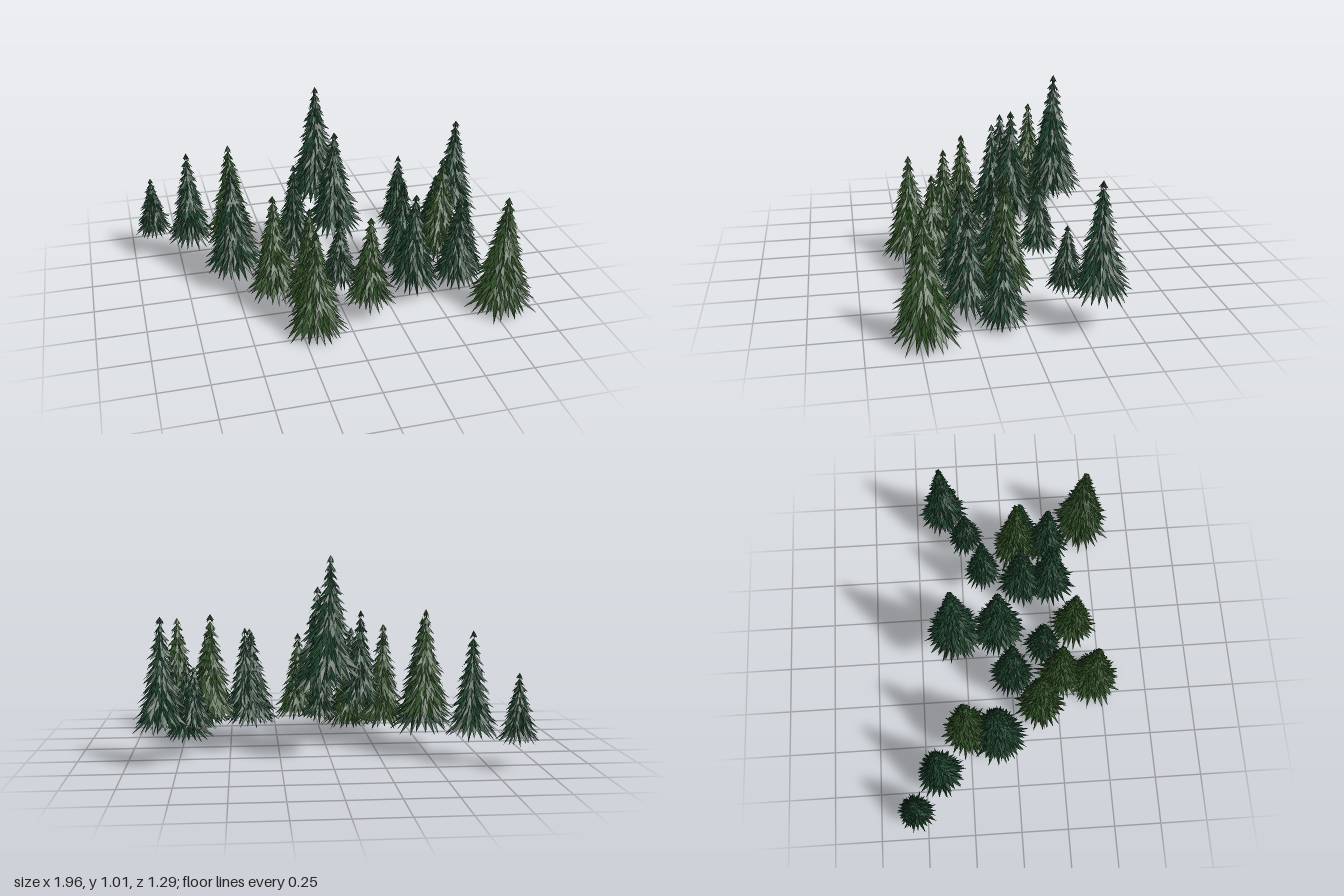
import * as THREE from 'three';

const pineGreen = new THREE.MeshStandardMaterial({ name: 'pineGreen', color: 0x21452f, side: THREE.DoubleSide, flatShading: true });
const mossGreen = new THREE.MeshStandardMaterial({ name: 'mossGreen', color: 0x335229, side: THREE.DoubleSide, flatShading: true });

// Each tree: x, z, lowest branch tips, top, radius, moss coloured
const TREES = [
  [-0.88, -0.55, 0.15, 0.48, 0.105, 0],
  [-0.685, -0.415, 0.15, 0.67, 0.135, 0],
  [-0.48, -0.26, 0.21, 0.76, 0.145, 1],
  [-0.495, -0.10, 0.12, 0.70, 0.165, 0],
  [-0.325, 0.145, 0.09, 0.64, 0.145, 1],
  [-0.185, 0.0, 0.23, 0.73, 0.13, 0],
  [-0.165, 0.265, 0.08, 0.61, 0.145, 1],
  [-0.18, 0.45, 0.025, 0.58, 0.16, 1],
  [0.01, 0.185, 0.12, 0.48, 0.115, 0],
  [0.125, 0.36, 0.10, 0.57, 0.135, 1],
  [0.0, -0.29, 0.41, 1.03, 0.16, 0],
  [0.045, -0.06, 0.31, 0.86, 0.155, 0],
  [0.42, -0.125, 0.26, 0.66, 0.11, 0],
  [0.385, 0.085, 0.13, 0.61, 0.14, 0],
  [0.395, 0.25, 0.10, 0.61, 0.15, 0],
  [0.60, 0.07, 0.15, 0.71, 0.15, 1],
  [0.635, 0.25, 0.09, 0.56, 0.14, 0],
  [0.675, -0.21, 0.17, 0.475, 0.11, 0],
  [0.825, -0.33, 0.19, 0.74, 0.145, 0],
  [0.80, 0.47, 0.025, 0.65, 0.175, 1],
  [0.73, 0.105, 0.04, 0.47, 0.13, 0],
];

function makeRandom(seed) {
  let s = seed;
  return () => {
    s = (s * 16807) % 2147483647;
    return s / 2147483647;
  };
}

// Stacked drooping star-shaped cones with sharp, uneven branch tips
function treeGeometry(height, radius, random) {
  const tiers = Math.max(10, Math.round(height * 24));
  const step = height / tiers;
  const pos = [];
  for (let i = 0; i < tiers; i++) {
    const t = (i + 1) / tiers;
    const R = radius * (0.07 + 0.93 * t);
    const tipY = height * (1 - t);
    const crownY = i === 0 ? height : Math.min(height, tipY + R * 0.85 + step * 0.5);
    const drop = crownY - tipY;
    const n = Math.round(10 + 14 * t);
    const turn = random() * Math.PI * 2;
    const tips = [], notches = [];
    for (let k = 0; k < n; k++) {
      const a = turn + (k + (random() - 0.5) * 0.5) / n * Math.PI * 2;
      const b = turn + (k + 0.5) / n * Math.PI * 2;
      const len = R * (0.82 + 0.28 * random());
      const inner = R * (0.58 + 0.1 * random());
      tips.push([Math.sin(a) * len, tipY + (random() - 0.4) * step * 0.6, Math.cos(a) * len]);
      notches.push([Math.sin(b) * inner, crownY - drop * 0.68, Math.cos(b) * inner]);
    }
    const crown = [0, crownY, 0];
    for (let k = 0; k < n; k++) {
      const prev = notches[(k + n - 1) % n];
      pos.push(...crown, ...prev, ...tips[k], ...crown, ...tips[k], ...notches[k]);
    }
  }
  const geo = new THREE.BufferGeometry();
  geo.setAttribute('position', new THREE.Float32BufferAttribute(pos, 3));
  geo.computeVertexNormals();
  return geo;
}

export function createModel() {
  const forest = new THREE.Group();
  forest.name = 'forest';
  TREES.forEach(([x, z, base, top, radius, moss], i) => {
    const geo = treeGeometry(top - base, radius, makeRandom(977 + i * 7919));
    const tree = new THREE.Mesh(geo, moss ? mossGreen : pineGreen);
    tree.name = 'firTree' + (i + 1);
    tree.position.set(x, base, z);
    forest.add(tree);
  });
  return forest;
}
